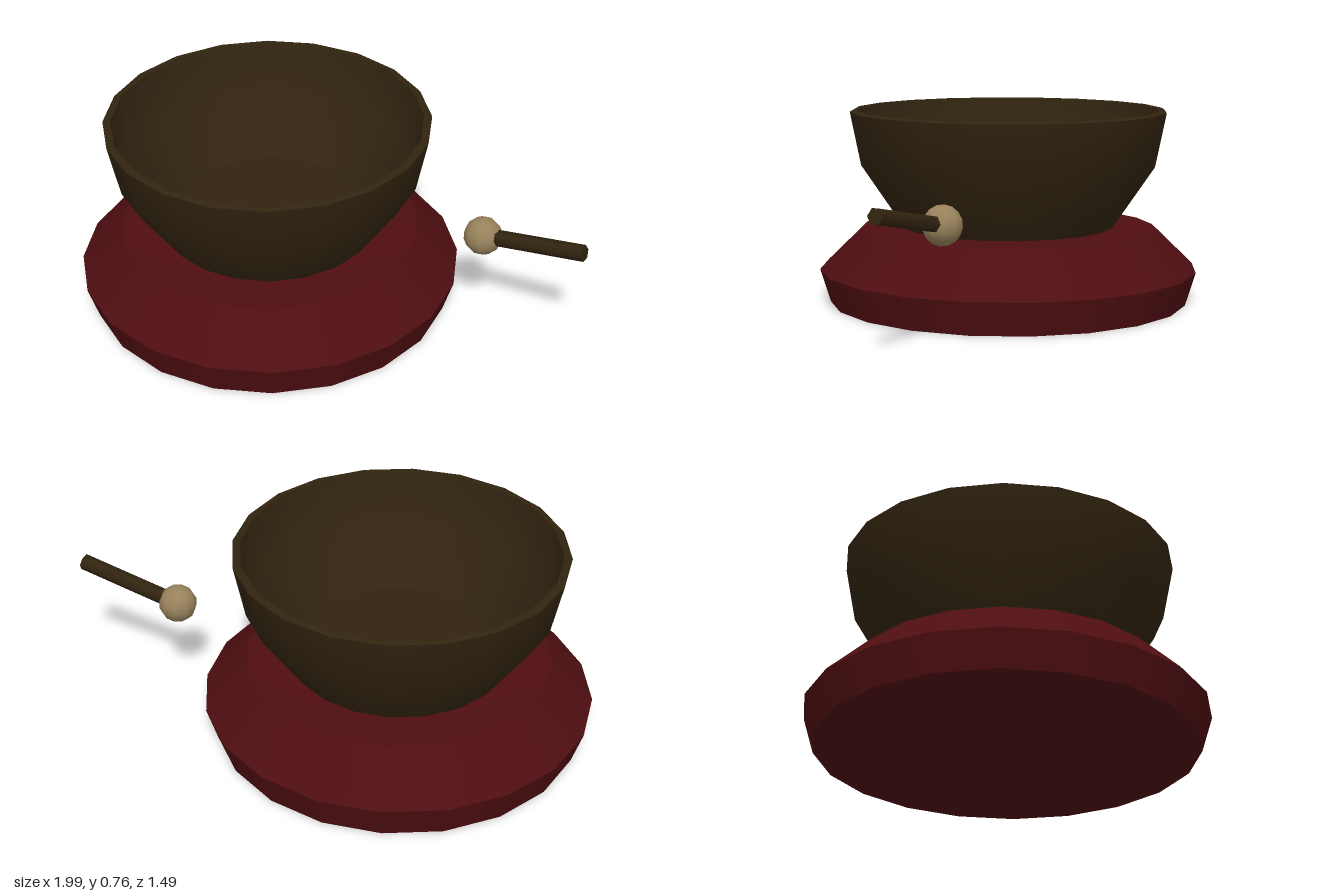
import * as THREE from 'three';

const cloth = new THREE.MeshStandardMaterial({ color: 0x4f0e11 });
cloth.name = 'redCloth';
const bronze = new THREE.MeshStandardMaterial({ color: 0x312410 });
bronze.name = 'darkBronze';
const felt = new THREE.MeshStandardMaterial({ color: 0x98825c });
felt.name = 'paleFelt';

const SIDES = 20;

// Each band is smooth in itself; the joints between bands stay sharp.
function turned(name, bands, material) {
  const group = new THREE.Group();
  group.name = name;
  for (const [bandName, points] of Object.entries(bands)) {
    const profile = points.map(([r, y]) => new THREE.Vector2(r, y));
    const mesh = new THREE.Mesh(new THREE.LatheGeometry(profile, SIDES), material);
    mesh.name = bandName;
    group.add(mesh);
  }
  return group;
}

export function createModel() {
  const model = new THREE.Group();
  model.name = 'bowlOnCushion';

  // Round cushion with a wide sloping shoulder
  const cushion = turned('cushion', {
    cushionBase: [[0, 0], [0.705, 0]],
    cushionSide: [[0.705, 0], [0.745, 0.13]],
    cushionShoulder: [[0.745, 0.13], [0.58, 0.29]],
    cushionTop: [[0.58, 0.29], [0.42, 0.297], [0, 0.297]],
  }, cloth);

  // Hollow bowl with a thin rim
  const bowl = turned('bowl', {
    bowlBase: [[0, 0.295], [0.415, 0.295]],
    bowlOuterWall: [[0.415, 0.295], [0.58, 0.54], [0.622, 0.75]],
    bowlRim: [[0.622, 0.75], [0.61, 0.757], [0.592, 0.755]],
    bowlInnerWall: [[0.592, 0.755], [0.55, 0.55], [0.37, 0.345]],
    bowlFloor: [[0.37, 0.345], [0, 0.345]],
  }, bronze);
  cushion.position.x = bowl.position.x = -0.255;

  // Striker: the stick runs along the group's x axis from the ball
  const striker = new THREE.Group();
  striker.name = 'striker';
  const head = new THREE.Mesh(new THREE.SphereGeometry(0.073, 10, 8), felt);
  head.name = 'strikerHead';
  const stick = new THREE.Mesh(new THREE.CylinderGeometry(0.031, 0.031, 0.42, 6), bronze);
  stick.name = 'strikerHandle';
  stick.rotation.z = -Math.PI / 2;
  stick.position.x = 0.21;
  striker.add(head, stick);
  striker.position.set(0.577, 0.42, -0.21);
  striker.rotation.z = 0.2;

  model.add(cushion, bowl, striker);
  return model;
}
